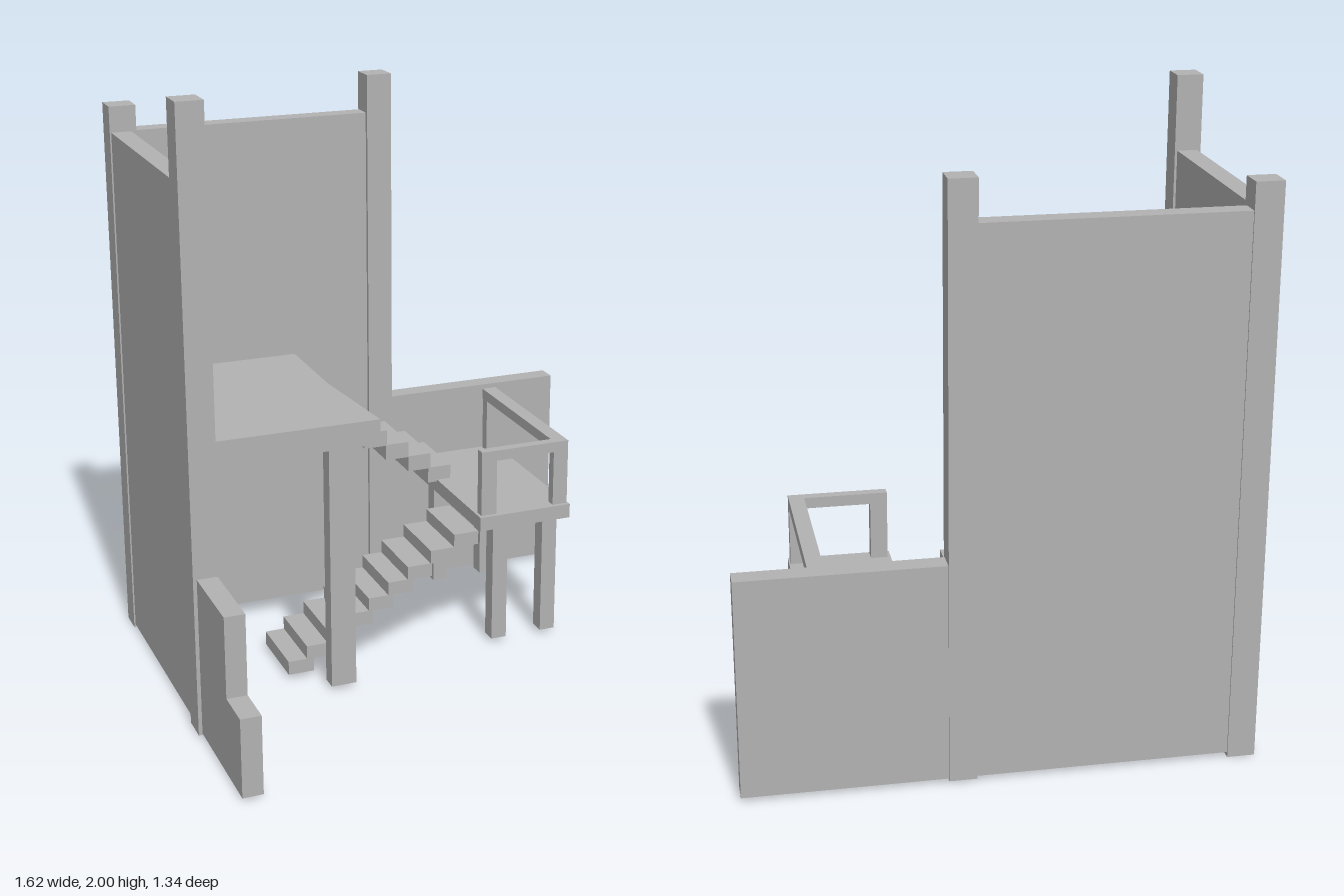
import * as THREE from 'three';

export function createModel() {
  const model = new THREE.Group();
  const stone = new THREE.MeshStandardMaterial({ color: 0xb2b2b2 });
  stone.name = 'plain grey';

  const add = (name, geometry, parent = model) => {
    const mesh = new THREE.Mesh(geometry, stone);
    mesh.name = name;
    parent.add(mesh);
    return mesh;
  };

  // Box given by its minimum and maximum on each axis
  const box = (name, x0, x1, y0, y1, z0, z1, parent) => {
    const g = new THREE.BoxGeometry(x1 - x0, y1 - y0, z1 - z0);
    g.translate((x0 + x1) / 2, (y0 + y1) / 2, (z0 + z1) / 2);
    return add(name, g, parent);
  };

  const outline = (points) => new THREE.Shape(points.map(([x, y]) => new THREE.Vector2(x, y)));

  // Back wall: tall part and low part in one outline
  const backWall = new THREE.ExtrudeGeometry(
    outline([[-0.79, 0.015], [0.805, 0.015], [0.805, 0.725], [0.17, 0.725], [0.17, 1.755], [-0.79, 1.755]]),
    { depth: 0.066, bevelEnabled: false });
  backWall.translate(0, 0, -0.665);
  add('backWall', backWall);

  // Side wall, stepping down towards the front (outline in -z, y)
  const sideWall = new THREE.ExtrudeGeometry(
    outline([[-0.67, 0.01], [0.6, 0.01], [0.6, 1.755], [-0.2, 1.755], [-0.2, 0.535],
      [-0.535, 0.535], [-0.535, 0.27], [-0.67, 0.27]]),
    { depth: 0.066, bevelEnabled: false });
  sideWall.rotateY(Math.PI / 2);
  sideWall.translate(-0.798, 0, 0);
  add('sideWall', sideWall);

  // Wall pillars
  box('frontPillar', -0.81, -0.724, 0.005, 2, 0.162, 0.252);
  box('cornerPillar', -0.803, -0.715, 0, 1.84, -0.67, -0.585);
  box('backPillar', 0.083, 0.17, 0.008, 1.885, -0.67, -0.585);

  // Upper platform with a slanted edge, and its column
  const platform = new THREE.ExtrudeGeometry(
    outline([[-0.735, -0.137], [-0.152, -0.137], [-0.187, 0.255], [-0.187, 0.6], [-0.735, 0.6]]),
    { depth: 0.083, bevelEnabled: false });
  platform.rotateX(-Math.PI / 2);
  platform.translate(0, 0.846, 0);
  add('upperPlatform', platform);
  box('platformColumn', -0.32, -0.235, 0.015, 0.85, 0.065, 0.12);

  // Lower flight, rising to the landing
  const lowerStairs = new THREE.Group();
  lowerStairs.name = 'lowerStairs';
  model.add(lowerStairs);
  [-0.425, -0.36, -0.288, -0.213, -0.14, -0.07, 0, 0.083, 0.168].forEach((x, i) => {
    const top = 0.063 + 0.0452 * i;
    box('lowerStep', x, x + 0.088, top - 0.047, top, -0.255, -0.01, lowerStairs);
  });

  // Upper flight, rising from the landing to the platform
  const upperStairs = new THREE.Group();
  upperStairs.name = 'upperStairs';
  model.add(upperStairs);
  [-0.13, -0.07, -0.005, 0.062, 0.142, 0.225, 0.3].forEach((x, i) => {
    const top = 0.855 - 0.0535 * i;
    box('upperStep', x - 0.084, x, top - 0.056, top, -0.6, -0.355, upperStairs);
  });

  // Landing with four legs
  box('landing', 0.25, 0.583, 0.435, 0.484, -0.6, 0.02);
  for (const x of [0.309, 0.493])
    for (const z of [-0.577, -0.06])
      box('landingLeg', x, x + 0.054, 0.015, 0.437, z, z + 0.054);

  // Railing along the front and the open side
  const railing = new THREE.Group();
  railing.name = 'railing';
  model.add(railing);
  box('railPost', 0.26, 0.315, 0.48, 0.675, -0.028, 0.005, railing);
  box('cornerRailPost', 0.525, 0.578, 0.48, 0.675, -0.028, 0.005, railing);
  box('backRailPost', 0.53, 0.578, 0.48, 0.675, -0.593, -0.557, railing);
  box('frontRail', 0.26, 0.578, 0.675, 0.711, -0.028, 0.005, railing);
  box('sideRail', 0.528, 0.578, 0.675, 0.711, -0.593, -0.028, railing);

  return model;
}
